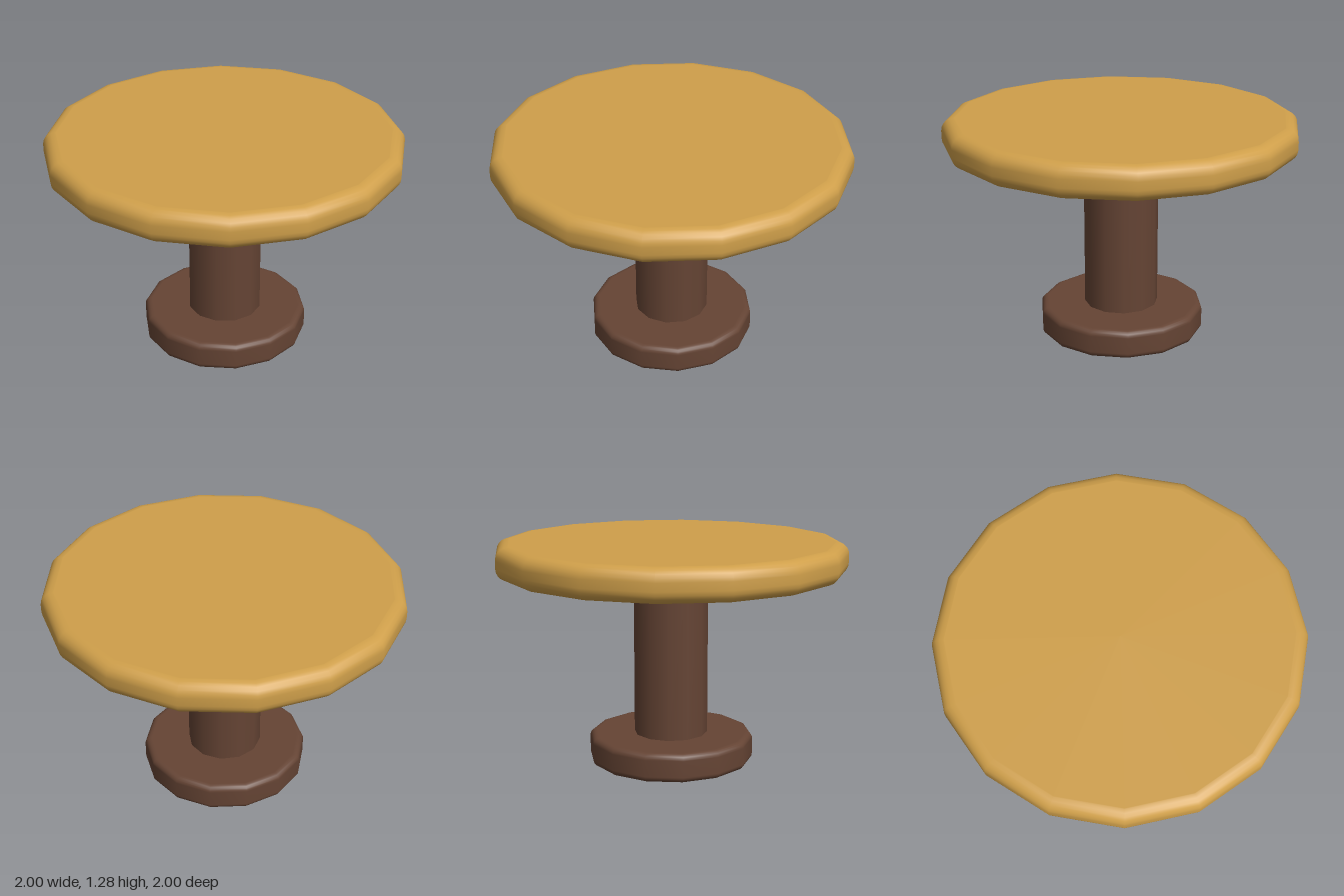
import * as THREE from 'three';

const wood = new THREE.MeshStandardMaterial({ color: 0xcf9f4a });
const darkWood = new THREE.MeshStandardMaterial({ color: 0x654434 });

// Round slab with softened rims, turned with a small number of sides
function roundedDisc(name, radius, y0, y1, bevel, sides, material) {
  const inner = radius - bevel, steps = 5, lip = 0.004;
  const points = [new THREE.Vector2(0, y0), new THREE.Vector2(inner - lip, y0)];
  for (const top of [false, true]) {
    for (let i = 0; i <= steps; i++) {
      const a = (i / steps) * Math.PI / 2 - (top ? 0 : Math.PI / 2);
      const cy = top ? y1 - bevel : y0 + bevel;
      points.push(new THREE.Vector2(inner + bevel * Math.cos(a), cy + bevel * Math.sin(a)));
    }
  }
  points.push(new THREE.Vector2(inner - lip, y1), new THREE.Vector2(0, y1));
  const mesh = new THREE.Mesh(new THREE.LatheGeometry(points, sides), material);
  mesh.name = name;
  return mesh;
}

export function createModel() {
  const table = new THREE.Group();
  table.name = 'pedestalTable';

  // Foot and table top
  table.add(roundedDisc('base', 0.475, 0, 0.165, 0.035, 14, darkWood));
  table.add(roundedDisc('tableTop', 1, 1.1, 1.285, 0.07, 16, wood));

  // Column, running slightly into both discs
  const column = new THREE.Mesh(new THREE.CylinderGeometry(0.2125, 0.2125, 0.98, 12), darkWood);
  column.name = 'column';
  column.position.y = 0.632;
  table.add(column);

  return table;
}
